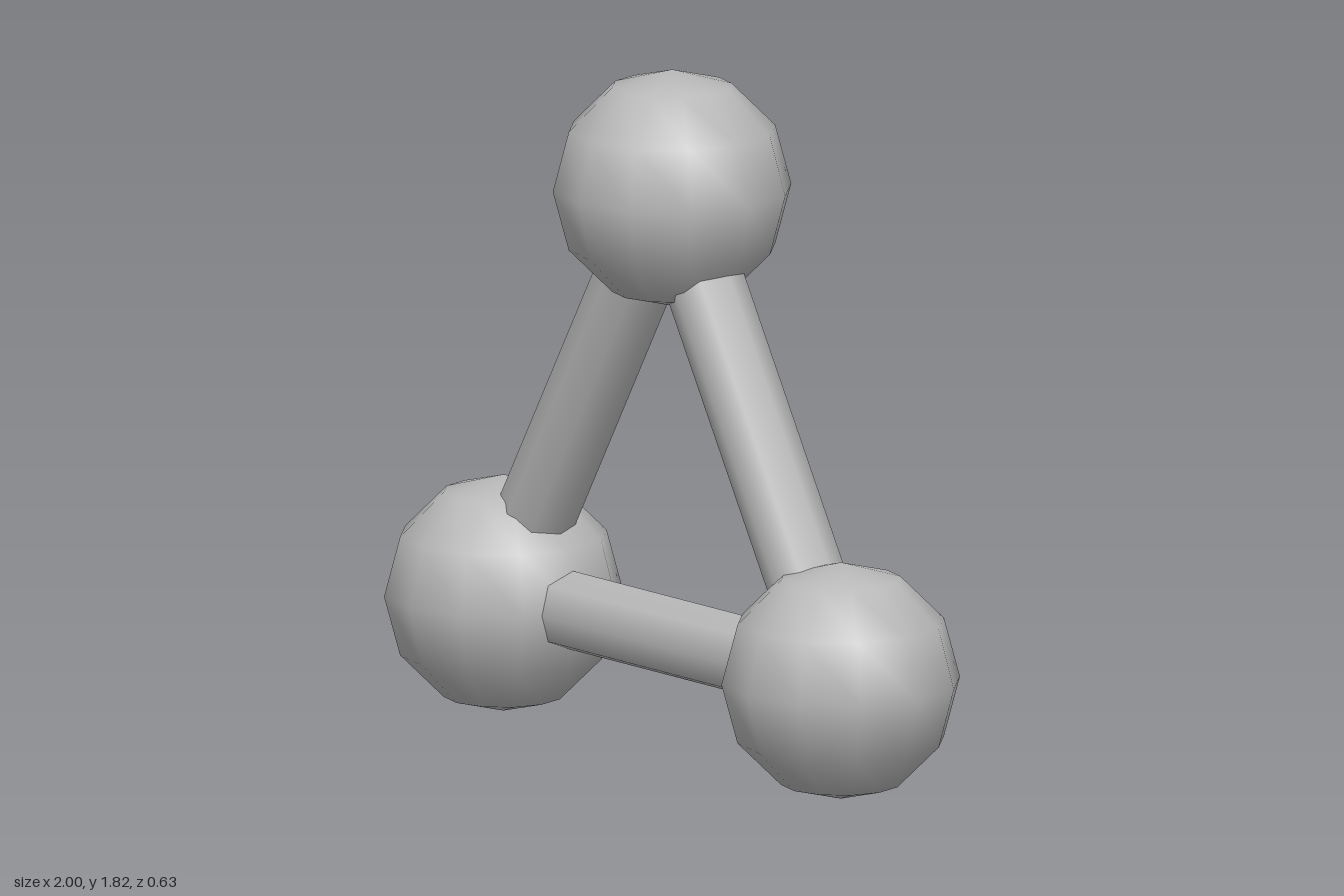
import * as THREE from 'three';

export function createModel() {
  const model = new THREE.Group();
  model.name = 'triangleOfBallsAndRods';
  const grey = new THREE.MeshStandardMaterial({ color: 0xb8b8b8 });
  grey.name = 'grey';

  const ballRadius = 0.313;
  const rodRadius = 0.105;
  const half = 1 - ballRadius;

  // Corners of an upright equilateral triangle
  const corners = {
    left: new THREE.Vector3(half, ballRadius, 0),
    right: new THREE.Vector3(-half, ballRadius, 0),
    top: new THREE.Vector3(0, ballRadius + half * Math.sqrt(3), 0),
  };

  // A ball at each corner
  const ballGeometry = new THREE.SphereGeometry(ballRadius, 12, 6);
  for (const [name, position] of Object.entries(corners)) {
    const ball = new THREE.Mesh(ballGeometry, grey);
    ball.name = `${name}Ball`;
    ball.position.copy(position);
    model.add(ball);
  }

  // Eight-sided rods running between the ball centres
  const rodGeometry = new THREE.CylinderGeometry(rodRadius, rodRadius, half * 2, 8, 1, true);
  const addRod = (name, a, b) => {
    const rod = new THREE.Mesh(rodGeometry, grey);
    rod.name = name;
    rod.position.addVectors(a, b).multiplyScalar(0.5);
    rod.rotation.z = Math.atan2(a.x - b.x, b.y - a.y);
    model.add(rod);
  };
  addRod('bottomRod', corners.right, corners.left);
  addRod('leftRod', corners.left, corners.top);
  addRod('rightRod', corners.right, corners.top);

  return model;
}
